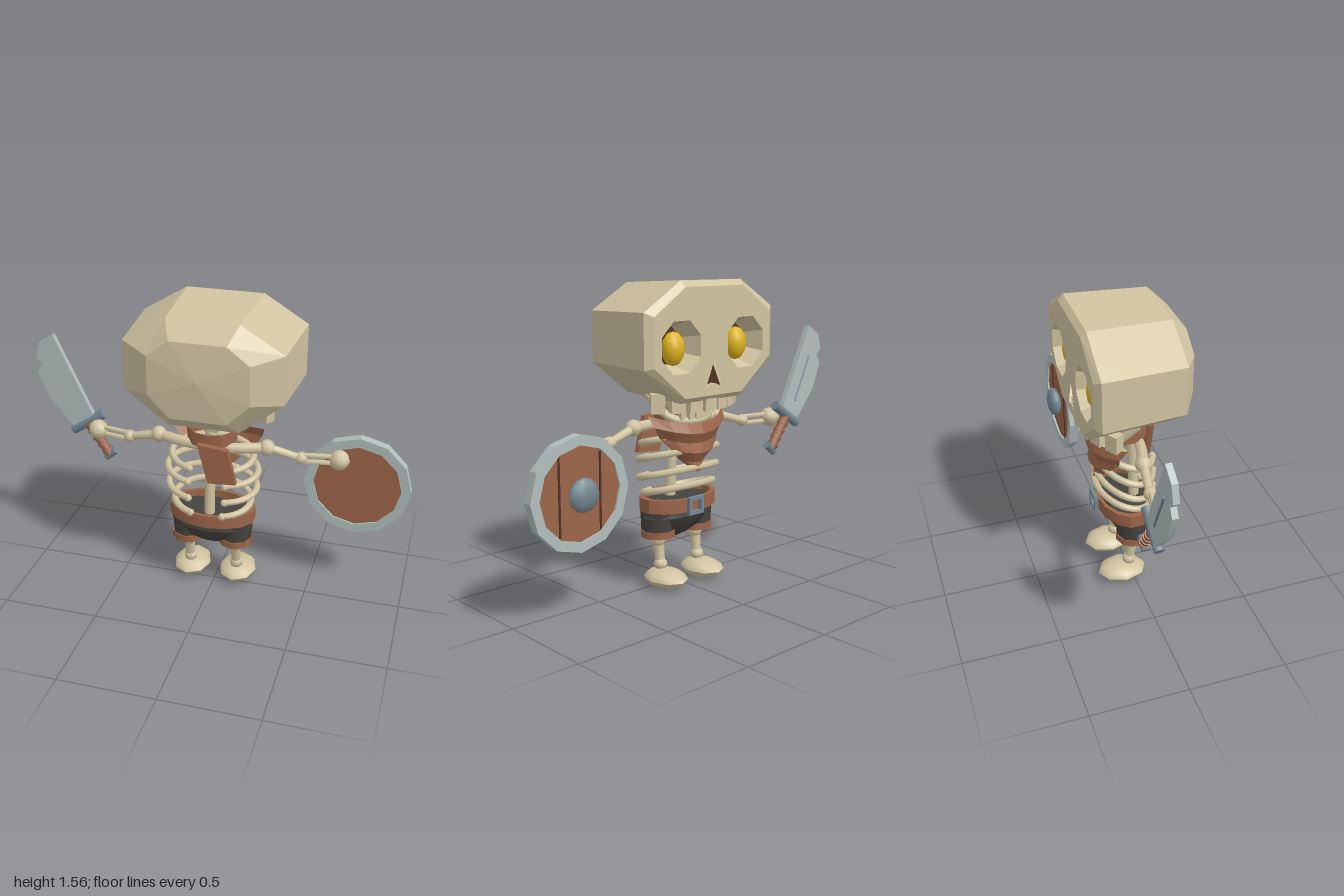
import * as THREE from 'three';
import { toCreasedNormals } from 'three/addons/utils/BufferGeometryUtils.js';

const mat = (name, color, side = THREE.FrontSide) => {
  const m = new THREE.MeshStandardMaterial({ color, side });
  m.name = name;
  return m;
};
const bone = mat('bone', 0xd0c3a0, THREE.DoubleSide);
const leather = mat('leather', 0x9c6549, THREE.DoubleSide);
const paleSteel = mat('paleSteel', 0xb0bdbc);
const steel = mat('steel', 0x748792);
const cloth = mat('cloth', 0x45423e);
const shadowBrown = mat('darkBrown', 0x4f3223);
const yellow = mat('yellow', 0xe0b41c);

const V = (x, y, z) => new THREE.Vector3(x, y, z);

export function createModel() {
  const model = new THREE.Group();
  const body = new THREE.Group();
  body.name = 'skeleton';
  body.position.x = -0.012;
  model.add(body);

  // Helpers: mesh with creased normals, ball, rod between points, curved tube
  const add = (name, geo, m, parent = body, crease = 0.6) => {
    const mesh = new THREE.Mesh(toCreasedNormals(geo, crease), m);
    mesh.name = name;
    parent.add(mesh);
    return mesh;
  };
  const ball = (name, p, r, m = bone, parent = body, s = [1, 1, 1], seg = 8) => {
    const mesh = add(name, new THREE.SphereGeometry(r, seg, 6).scale(...s), m, parent, 0.9);
    mesh.position.copy(p);
    return mesh;
  };
  const rod = (name, a, b, r0, r1 = r0, m = bone, parent = body, sides = 8) => {
    const mesh = add(name, new THREE.CylinderGeometry(r1, r0, a.distanceTo(b), sides), m, parent, 0.8);
    mesh.position.copy(a).lerp(b, 0.5);
    mesh.quaternion.setFromUnitVectors(V(0, 1, 0), b.clone().sub(a).normalize());
    return mesh;
  };
  const tube = (name, pts, r, seg, sides = 6) =>
    add(name, new THREE.TubeGeometry(new THREE.CatmullRomCurve3(pts), seg, r, sides), bone, body, 1.1);
  const polygon = (pts) => new THREE.Shape(pts.map(([x, y]) => new THREE.Vector2(x, y)));
  const plate = (name, pts, z0, depth, m, parent) => {
    const mesh = add(name, new THREE.ExtrudeGeometry(polygon(pts), { depth, bevelEnabled: false }), m, parent);
    mesh.position.z = z0;
    return mesh;
  };

  // Skull shell: octagon sections from face rim to rounded rear
  const octagon = (w, wFlat, top, hi, lo, bottom) => [
    [wFlat, bottom], [w, lo], [w, hi], [wFlat, top],
    [-wFlat, top], [-w, hi], [-w, lo], [-wFlat, bottom]];
  const faceOutline = octagon(0.385, 0.19, 1.535, 1.405, 1.17, 1.01);
  const sections = [
    [faceOutline, -0.272],
    [octagon(0.425, 0.2, 1.563, 1.425, 1.16, 0.985), -0.245],
    [octagon(0.398, 0.18, 1.545, 1.415, 1.165, 0.995), 0.17],
    [octagon(0.25, 0.14, 1.465, 1.38, 1.18, 1.07), 0.255],
    [octagon(0.001, 0.0005, 1.276, 1.2755, 1.2745, 1.274), 0.278]];
  const verts = [];
  for (let s = 0; s < sections.length - 1; s++) {
    const [p, z0] = sections[s], [q, z1] = sections[s + 1];
    for (let i = 0; i < 8; i++) {
      const j = (i + 1) % 8;
      const a = [...p[i], z0], b = [...p[j], z0], c = [...q[j], z1], d = [...q[i], z1];
      verts.push(...a, ...b, ...c, ...a, ...c, ...d);
    }
  }
  const shell = new THREE.BufferGeometry();
  shell.setAttribute('position', new THREE.Float32BufferAttribute(verts, 3));
  add('skullShell', shell, bone, body, 0.02);

  // Face plate with eye and nose openings, looking toward -z
  const eyeX = 0.215, eyeY = 1.255, eyeR = 0.135;
  const face = polygon(faceOutline);
  for (const s of [-1, 1]) {
    const ring = [];
    for (let i = 0; i < 8; i++) {
      const t = Math.PI / 8 + i * Math.PI / 4;
      ring.push([s * eyeX + eyeR * Math.cos(t), eyeY + eyeR * Math.sin(t)]);
    }
    face.holes.push(polygon(ring));
    const socket = add('eyeSocket', new THREE.CylinderGeometry(0.095, eyeR, 0.11, 8, 1, true, Math.PI / 8)
      .rotateX(Math.PI / 2), bone, body, 0.1);
    socket.position.set(s * eyeX, eyeY, -0.217);
    const back = add('socketBack', new THREE.CircleGeometry(0.1, 8, Math.PI / 8).rotateY(Math.PI), shadowBrown);
    back.position.set(s * eyeX, eyeY, -0.163);
    ball('eye', V(s * 0.21, 1.245, -0.205), 1, yellow, body, [0.062, 0.083, 0.05], 12);
  }
  const nose = [[0, 1.185], [-0.055, 1.05], [0, 1.07], [0.055, 1.05]];
  face.holes.push(polygon(nose));
  const facePlate = add('face', new THREE.ShapeGeometry(face).rotateY(Math.PI), bone);
  facePlate.position.z = -0.272;
  const noseBack = add('noseHollow', new THREE.ShapeGeometry(polygon(nose)).scale(1.15, 1, 1).rotateY(Math.PI), shadowBrown);
  noseBack.position.z = -0.25;

  // Upper teeth along a shallow arc
  for (let i = -3; i <= 3; i++) {
    const x = i * 0.082;
    const tooth = add('upperTooth', new THREE.BoxGeometry(0.07, 0.095, 0.055), bone);
    tooth.position.set(x, 0.978, -0.225 + 1.5 * x * x);
    tooth.rotation.y = -i * 0.2;
  }
  // Lower jaw and its teeth
  tube('lowerJaw', [V(-0.2, 1.01, 0), V(-0.13, 0.89, -0.1), V(0, 0.87, -0.15), V(0.13, 0.89, -0.1), V(0.2, 1.01, 0)], 0.022, 16);
  for (let i = -2; i <= 2; i++) {
    const tooth = add('lowerTooth', new THREE.BoxGeometry(0.035, 0.04, 0.025), bone);
    tooth.position.set(i * 0.042, 0.9, -0.155 + i * i * 0.005);
  }

  // Spine, neck and collarbone
  rod('spine', V(0, 0.44, 0.05), V(0, 0.92, 0.03), 0.028);
  ball('neck', V(0, 0.94, 0.01), 0.05);
  rod('neckTop', V(0, 0.95, 0.01), V(0, 1.02, 0), 0.035);
  tube('collarbone', [V(-0.285, 0.845, 0), V(-0.12, 0.84, 0.04), V(0.12, 0.84, 0.04), V(0.285, 0.845, 0)], 0.028, 10, 8);

  // Sloping ribs, open on the +z side
  [[0.765, 0.215], [0.685, 0.24], [0.59, 0.235], [0.505, 0.205]].forEach(([y, rx]) => {
    const pts = [];
    for (let i = 0; i <= 16; i++) {
      const t = 0.42 + (i / 16) * (2 * Math.PI - 0.84);
      const z = -0.012 + 0.142 * Math.cos(t);
      pts.push(V(rx * Math.sin(t), y - 0.27 * z, z));
    }
    tube('rib', pts, 0.018, 32);
    ball('ribEnd', pts[0], 0.02);
    ball('ribEnd', pts[16], 0.02);
  });

  // Arms and legs, mirrored
  for (const s of [-1, 1]) {
    const shoulder = V(s * 0.285, 0.845, 0), elbow = V(s * 0.455, 0.797, -0.025), hand = V(s * 0.643, 0.797, -0.055);
    ball('shoulder', shoulder, 0.043);
    rod('upperArm', shoulder, elbow, 0.025, 0.02);
    ball('elbow', elbow, 0.033);
    for (const d of [-0.018, 0.018]) rod('forearmBone', elbow.clone().add(V(0, d, 0)), hand.clone().add(V(0, d, 0)), 0.013);
    ball('hand', hand, 0.053);

    const x = s * 0.128;
    ball('knee', V(x, 0.245, 0), 0.042);
    rod('shin', V(x, 0.245, 0), V(x, 0.11, -0.02), 0.03, 0.024);
    ball('ankle', V(x, 0.118, -0.02), 0.036);
    ball('foot', V(x, 0.055, -0.06), 1, bone, body, [0.1, 0.05, 0.13]);
    rod('trouserLeg', V(x, 0.29, 0), V(x, 0.4, 0), 0.085, 0.09, cloth);
    rod('trouserCuff', V(x, 0.265, 0), V(x, 0.3, 0), 0.09, 0.09, leather, body, 10);
  }

  // Trousers and belt
  const lathe = (pts, sides) => new THREE.LatheGeometry(pts.map(([r, y]) => new THREE.Vector2(r, y)), sides);
  add('trousers', lathe([[0, 0.24], [0.075, 0.265], [0.17, 0.31], [0.223, 0.37], [0.205, 0.42], [0.205, 0.45], [0, 0.45]], 12)
    .scale(1, 1, 0.53), cloth);
  const belt = add('belt', lathe([[0.2, 0.405], [0.23, 0.405], [0.23, 0.475], [0.2, 0.475], [0.2, 0.405]], 14)
    .scale(1, 1, 0.64), leather);
  belt.position.z = -0.008;
  for (const s of [-1, 1]) {
    add('buckleSide', new THREE.BoxGeometry(0.018, 0.09, 0.02), steel).position.set(0.02 + s * 0.04, 0.44, -0.165);
    add('buckleBar', new THREE.BoxGeometry(0.098, 0.018, 0.02), steel).position.set(0.02, 0.44 + s * 0.037, -0.165);
  }

  // Neck scarf: band, folded bib and hanging tail
  add('scarfBand', new THREE.CylinderGeometry(0.13, 0.128, 0.075, 10, 1, true).scale(1, 1, 0.9), leather)
    .position.set(0, 0.892, -0.005);
  const bib = new THREE.PlaneGeometry(2, 1, 6, 5);
  const pos = bib.attributes.position;
  for (let i = 0; i < pos.count; i++) {
    const u = pos.getX(i), v = 0.5 - pos.getY(i);
    const x = u * 0.255 * (1 - 0.93 * Math.pow(v, 1.6));
    const fold = Math.round(v * 5) % 2 ? -0.014 : 0.006;
    pos.setXYZ(i, x, 0.9 - 0.04 * (1 - u * u) * (1 - v) + 0.01 * u * u - 0.29 * v,
      -0.075 - 0.115 * (1 - u * u * (1 - v * 0.7)) + 0.03 * v * v + fold);
  }
  add('scarfBib', bib, leather, body, 0.02);
  plate('scarfTail', [[-0.04, 0.885], [0.015, 0.675], [0.16, 0.685], [0.115, 0.87]], 0.112, 0.03, leather, body);

  // Round shield
  const shield = new THREE.Group();
  shield.name = 'shield';
  shield.position.set(0.722, 0.622, -0.142);
  model.add(shield);
  add('shieldRim', lathe([[0.226, -0.025], [0.275, -0.025], [0.275, 0.025], [0.226, 0.025], [0.226, -0.025]], 12)
    .rotateX(Math.PI / 2), paleSteel, shield, 0.3);
  add('shieldBoard', new THREE.CylinderGeometry(0.23, 0.23, 0.03, 12).rotateX(Math.PI / 2), leather, shield);
  for (const s of [-1, 1])
    add('boardGroove', new THREE.BoxGeometry(0.01, 0.37, 0.006), shadowBrown, shield).position.set(s * 0.115, 0, -0.016);
  ball('shieldBoss', V(0, 0, -0.045), 1, steel, shield, [0.082, 0.082, 0.038], 12);

  // Notched broad sword
  const sword = new THREE.Group();
  sword.name = 'sword';
  sword.position.z = -0.105;
  model.add(sword);
  plate('blade', [[-0.895, 1.29], [-0.975, 1.24], [-1, 1.155], [-0.968, 1.12], [-0.995, 1.075],
    [-0.945, 0.94], [-0.815, 0.78], [-0.695, 0.855]], -0.015, 0.03, paleSteel, sword);
  rod('bladeGroove', V(-0.79, 0.88, -0.015), V(-0.9, 1.12, -0.015), 0.008, 0.008, steel, sword, 4);
  rod('guard', V(-0.82, 0.752, 0), V(-0.64, 0.868, 0), 0.027, 0.027, steel, sword);
  rod('grip', V(-0.735, 0.805, 0), V(-0.615, 0.63, 0), 0.026, 0.026, leather, sword);
  for (let i = 0; i < 4; i++) {
    const p = V(-0.71 + i * 0.025, 0.768 - i * 0.0365, 0);
    rod('gripWrap', p, p.clone().add(V(0.008, -0.0117, 0)), 0.031, 0.031, leather, sword);
  }
  rod('pommel', V(-0.64, 0.61, 0), V(-0.582, 0.657, 0), 0.022, 0.022, steel, sword);

  return model;
}
